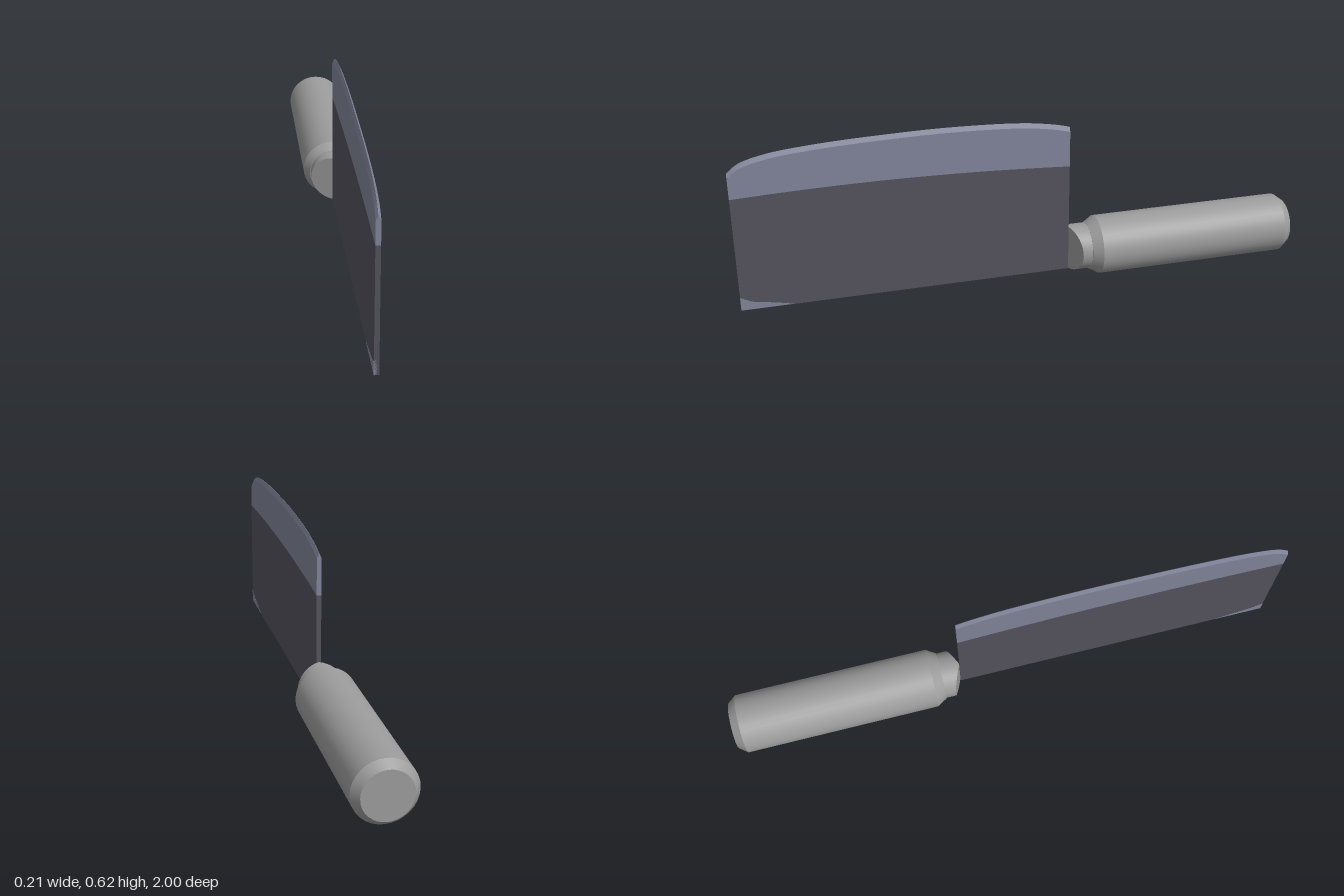
import * as THREE from 'three';
import { toCreasedNormals } from 'three/addons/utils/BufferGeometryUtils.js';

export function createModel() {
  const group = new THREE.Group();
  const mat = (name, color) => Object.assign(new THREE.MeshStandardMaterial({ color }), { name });
  const darkSteel = mat('dark steel', 0x54535e);
  const paleSteel = mat('pale steel', 0x81859a);
  const handleGrey = mat('handle grey', 0x9c9c9c);

  const add = (name, geometry, material) => {
    const mesh = new THREE.Mesh(toCreasedNormals(geometry, 0.45), material);
    mesh.name = name;
    group.add(mesh);
  };

  // Curved cutting edge along the top, from heel to tip
  const edge = new THREE.CatmullRomCurve3([
    [-0.165, 0.577], [-0.12, 0.589], [0, 0.608], [0.25, 0.62], [0.45, 0.619],
    [0.7, 0.61], [0.87, 0.593], [0.96, 0.568], [1, 0.538],
  ].map(([z, y]) => new THREE.Vector3(0, y, z)));
  const bottom = () => 0.025;
  const seam = (p) => 0.456 - 0.05 * (p.z - 0.55) ** 2;
  const shoulder = (p) => p.y - 0.016;
  const ridge = (p) => p.y;

  // A length of blade between two height rules, with a half thickness at each
  const bladeBand = (low, high, wLow, wHigh) => {
    const geo = new THREE.BoxGeometry(2, 1, 1, 1, 1, 40);
    const pos = geo.attributes.position;
    for (let i = 0; i < pos.count; i++) {
      const p = edge.getPoint(THREE.MathUtils.clamp(pos.getZ(i) + 0.5, 0, 1));
      const upper = pos.getY(i) > 0;
      pos.setXYZ(i, pos.getX(i) * (upper ? wHigh : wLow), upper ? high(p) : low(p), p.z);
    }
    return geo;
  };
  add('bladeBody', bladeBand(bottom, seam, 0.008, 0.008), darkSteel);
  add('bladeBand', bladeBand(seam, shoulder, 0.008, 0.008), paleSteel);
  add('cuttingEdge', bladeBand(shoulder, ridge, 0.008, 0.0005), paleSteel);

  // Pale worn corner on both sides of the lower tip
  const corner = new THREE.Shape([[-1, 0.026], [-0.82, 0.026], [-0.88, 0.04], [-0.96, 0.055], [-1, 0.075]]
    .map(([x, y]) => new THREE.Vector2(x, y)));
  const plate = new THREE.ExtrudeGeometry(corner, { depth: 0.017, bevelEnabled: false });
  plate.translate(0, 0, -0.0085).rotateY(Math.PI / 2);
  add('wornCorner', plate, paleSteel);

  // Round handle with chamfered ends
  const profile = [[0, 0.235], [0.085, 0.235], [0.106, 0.27], [0.106, 0.97], [0.083, 1], [0, 1]]
    .map(([r, y]) => new THREE.Vector2(r, y));
  const handle = new THREE.LatheGeometry(profile, 32);
  handle.rotateX(-Math.PI / 2).translate(0, 0.106, 0);
  add('handle', handle, handleGrey);

  // Ferrule: a short cylinder whose front is cut to a vertical wedge
  const ferrule = new THREE.CylinderGeometry(0.083, 0.083, 0.1, 32);
  ferrule.rotateX(Math.PI / 2);
  const pos = ferrule.attributes.position;
  for (let i = 0; i < pos.count; i++) {
    pos.setZ(i, pos.getZ(i) > 0 ? -0.165 - 0.42 * Math.abs(pos.getX(i)) : -0.25);
  }
  ferrule.translate(0, 0.107, 0);
  add('ferrule', ferrule, handleGrey);

  return group;
}
